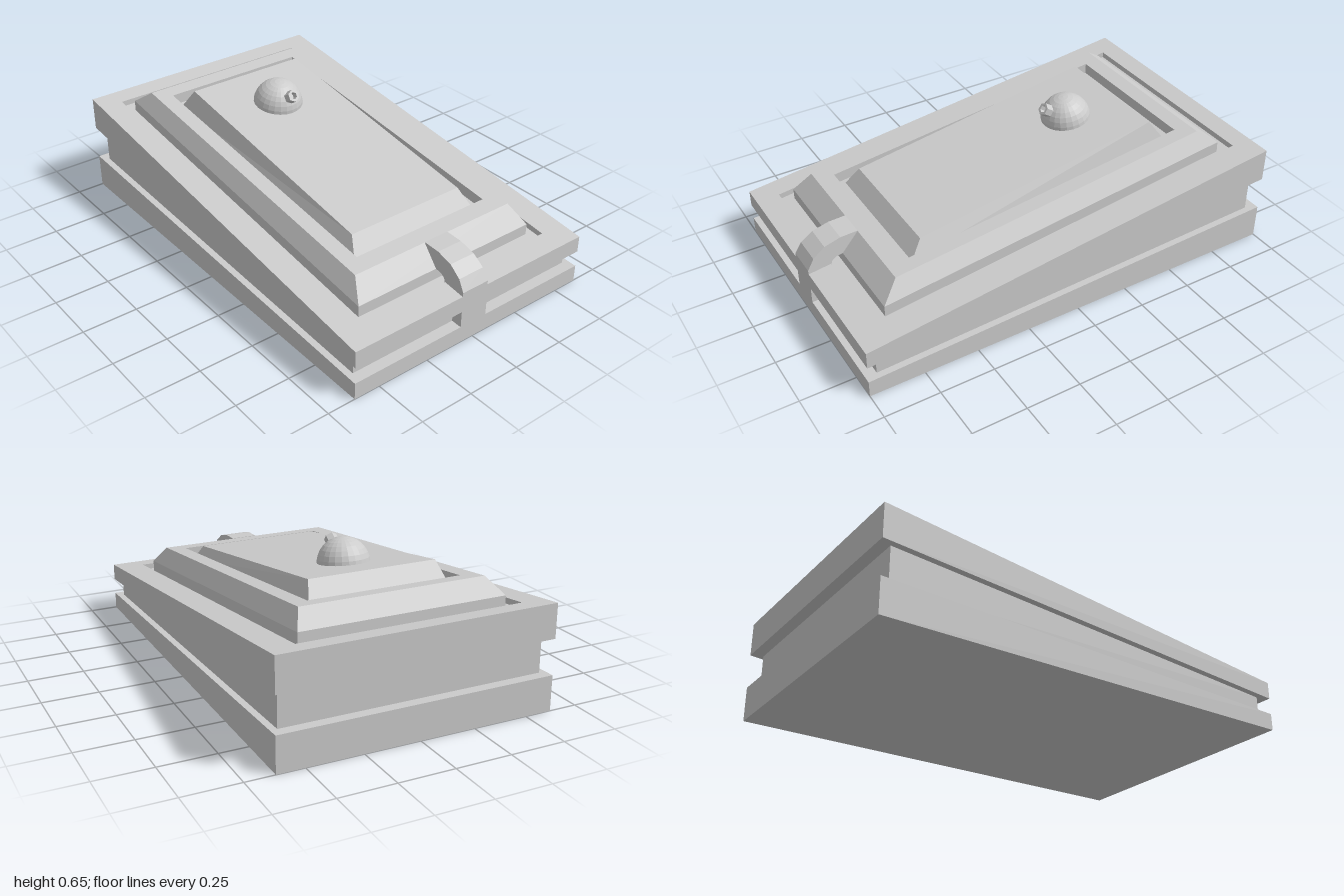
import * as THREE from 'three';

const material = new THREE.MeshStandardMaterial({ color: 0xcccccc, flatShading: true });

// Linear height along z, given at the front (z = 1) and back (z = -1)
const slope = (front, back) => (z) => (front + back) / 2 + ((front - back) / 2) * z;
const ring = (x0, x1, z0, z1, y) => [
  [x0, y(z1), z1], [x1, y(z1), z1], [x1, y(z0), z0], [x0, y(z0), z0],
];

// Solid made of successive rectangular rings, capped at both ends
function stepped(name, rings) {
  const pos = [];
  const quad = (a, b, c, d) => pos.push(...a, ...b, ...c, ...a, ...c, ...d);
  for (let r = 0; r < rings.length - 1; r++) {
    for (let i = 0; i < 4; i++) {
      const j = (i + 1) % 4;
      quad(rings[r][i], rings[r][j], rings[r + 1][j], rings[r + 1][i]);
    }
  }
  quad(...[...rings[0]].reverse());
  quad(...rings[rings.length - 1]);
  const geo = new THREE.BufferGeometry();
  geo.setAttribute('position', new THREE.Float32BufferAttribute(pos, 3));
  geo.computeVertexNormals();
  return named(name, geo);
}

function named(name, geo) {
  const mesh = new THREE.Mesh(geo, material);
  mesh.name = name;
  return mesh;
}

// Side profile of [z, y] points extruded across x
function sideExtrude(name, points, width) {
  const shape = new THREE.Shape(points.map(([z, y]) => new THREE.Vector2(z, y)));
  const geo = new THREE.ExtrudeGeometry(shape, { depth: width, bevelEnabled: false });
  geo.rotateY(-Math.PI / 2).translate(width / 2, 0, 0);
  return named(name, geo);
}

export function createModel() {
  const model = new THREE.Group();
  const W = 0.622;
  const lowTop = slope(0.077, 0.16);
  const highBottom = slope(0.153, 0.32);
  const deck = (offset) => slope(0.23 + offset, 0.475 + offset);

  // Wedge base: two slabs around a recessed core
  model.add(stepped('lowerSlab', [ring(-W, W, -1, 1, () => 0), ring(-W, W, -1, 1, lowTop)]));
  model.add(stepped('recessedCore', [
    ring(-0.592, 0.592, -0.95, 0.95, lowTop),
    ring(-0.592, 0.592, -0.95, 0.95, highBottom),
  ]));
  model.add(stepped('upperSlab', [
    ring(-W, W, -1, 1, highBottom),
    ring(-W, W, -1, 1, deck(0)),
    ring(-0.513, 0.499, -0.91, 0.897, deck(0)),
    ring(-0.513, 0.499, -0.91, 0.897, deck(-0.026)),
  ]));

  // Bevelled middle tier with its own pocket
  model.add(stepped('middleTier', [
    ring(-0.475, 0.461, -0.852, 0.838, deck(-0.026)),
    ring(-0.475, 0.461, -0.85, 0.838, deck(0.025)),
    ring(-0.43, 0.415, -0.76, 0.76, deck(0.1)),
    ring(-0.356, 0.343, -0.69, 0.68, deck(0.1)),
    ring(-0.356, 0.343, -0.69, 0.68, deck(0.05)),
  ]));

  // Inner tier, its top slightly steeper
  model.add(stepped('innerTier', [
    ring(-0.333, 0.319, -0.657, 0.638, deck(0.05)),
    ring(-0.3, 0.288, -0.585, 0.58, slope(0.334, 0.649)),
  ]));

  // Front tab bridging the groove
  model.add(sideExtrude('frontTab', [
    [0.94, 0.07], [1, 0.07], [1, 0.16], [0.94, 0.165],
  ], 0.14));

  // Curved latch, narrowing toward its top
  const latch = sideExtrude('latch', [
    [0.9, 0.225], [1, 0.22], [1, 0.248], [0.97, 0.298], [0.915, 0.338], [0.84, 0.358],
    [0.76, 0.361], [0.76, 0.335], [0.8, 0.29], [0.84, 0.275], [0.87, 0.27], [0.888, 0.258],
  ], 0.14);
  const p = latch.geometry.attributes.position;
  for (let i = 0; i < p.count; i++) {
    const t = Math.max(0, (p.getY(i) - 0.22) / 0.14);
    p.setX(i, p.getX(i) * (1 - 0.11 * t) - 0.002);
  }
  latch.geometry.computeVertexNormals();
  model.add(latch);

  // Dome with a hollow hexagonal nozzle
  const dome = named('dome', new THREE.SphereGeometry(0.115, 24, 8, 0, Math.PI * 2, 0, Math.PI / 2));
  dome.position.set(-0.003, 0.537, -0.333);
  dome.rotation.x = 0.157;
  model.add(dome);

  const profile = [[0, 0.12], [0.017, 0.12], [0.017, 0.15], [0.029, 0.15], [0.029, 0.09]]
    .reverse().map(([x, y]) => new THREE.Vector2(x, y));
  const nozzle = named('nozzle', new THREE.LatheGeometry(profile, 6));
  nozzle.position.copy(dome.position);
  nozzle.rotation.x = Math.PI / 2 - 0.58;
  model.add(nozzle);

  return model;
}
